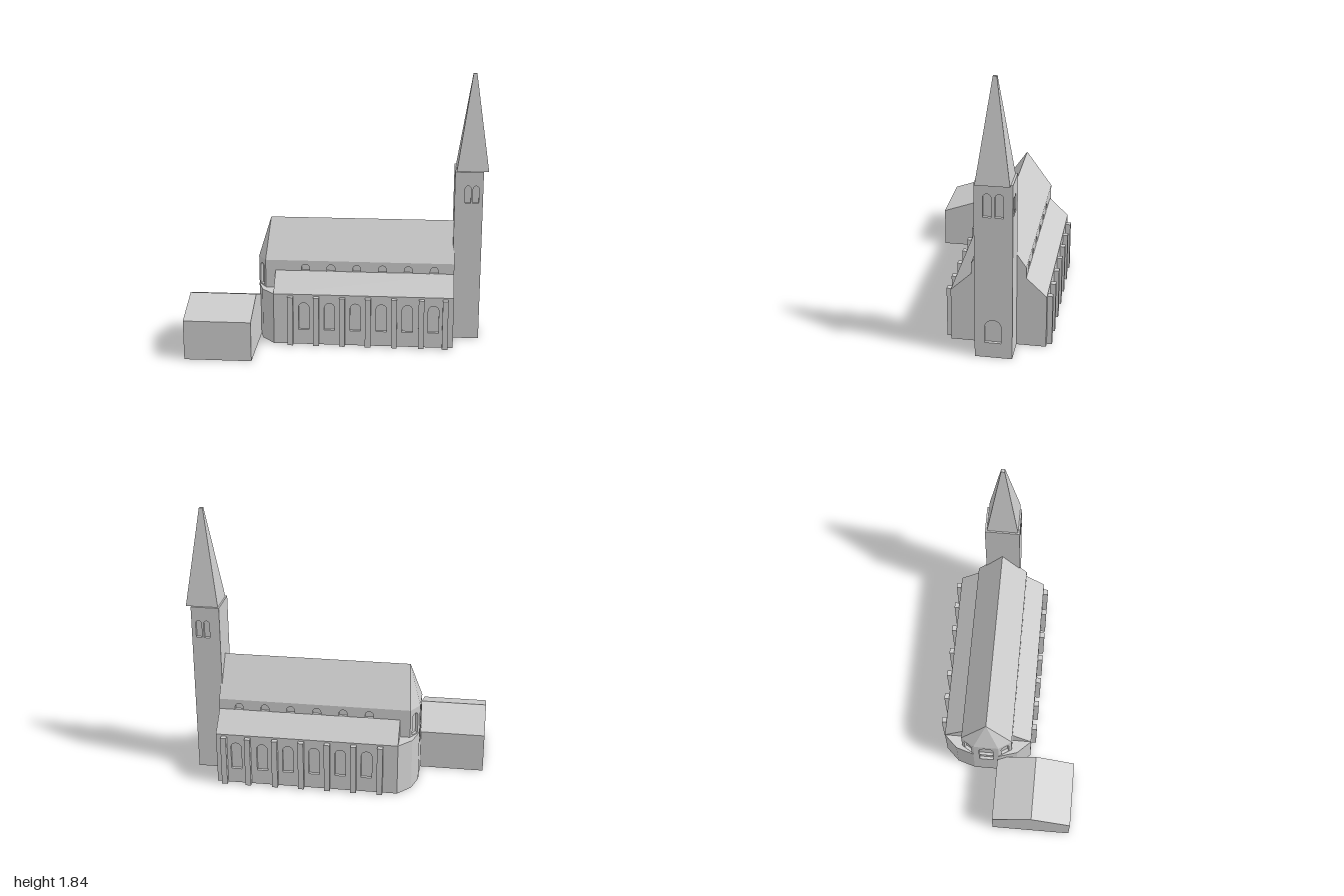
import * as THREE from 'three';
import { mergeGeometries } from 'three/addons/utils/BufferGeometryUtils.js';

const RECESS = 0.02;
const stone = new THREE.MeshStandardMaterial({ color: 0xcccccc });
stone.name = 'light grey stone';

function part(name, geometry) {
  const mesh = new THREE.Mesh(geometry, stone);
  mesh.name = name;
  return mesh;
}

// Closed solid from a plan loop [x, z] at height y0 up to top(x, z) -> [x, y, z]
function loft(name, loop, y0, top) {
  const low = loop.map(([x, z]) => new THREE.Vector3(x, y0, z));
  const high = loop.map(([x, z]) => new THREE.Vector3(...top(x, z)));
  const points = [];
  const tri = (a, b, c) => {
    if (new THREE.Triangle(a, b, c).getArea() > 1e-7) points.push(a, b, c);
  };
  const n = loop.length;
  for (let i = 0; i < n; i++) {
    const j = (i + 1) % n;
    tri(low[i], low[j], high[j]);
    tri(low[i], high[j], high[i]);
    if (i > 0 && i < n - 1) {
      tri(high[0], high[i], high[j]);
      tri(low[0], low[j], low[i]);
    }
  }
  const geometry = new THREE.BufferGeometry().setFromPoints(points);
  geometry.computeVertexNormals();
  return part(name, geometry);
}

// Round-headed (or square-headed) opening, centred on u
function opening(Type, [u, y, w, h, arched = true]) {
  const r = w / 2;
  const path = new Type();
  path.moveTo(u - r, y);
  path.lineTo(u + r, y);
  if (arched) {
    path.lineTo(u + r, y + h - r);
    path.absarc(u, y + h - r, r, 0, Math.PI, false);
  } else {
    path.lineTo(u + r, y + h);
    path.lineTo(u - r, y + h);
  }
  path.closePath();
  return path;
}

// Wall along p -> q with recessed openings
function wall(name, p, q, y0, y1, windows) {
  const dx = q[0] - p[0], dz = q[1] - p[1], length = Math.hypot(dx, dz);
  const shape = new THREE.Shape([[0, y0], [length, y0], [length, y1], [0, y1]].map(v => new THREE.Vector2(...v)));
  shape.holes = windows.map(w => opening(THREE.Path, w));
  const slab = new THREE.ExtrudeGeometry(shape, { depth: RECESS, bevelEnabled: false, curveSegments: 8 });
  const panes = windows.map(w => new THREE.ShapeGeometry(opening(THREE.Shape, w), 8).toNonIndexed());
  const geometry = mergeGeometries([slab, ...panes]);
  geometry.translate(0, 0, -RECESS);
  const mesh = part(name, geometry);
  mesh.position.set(p[0], 0, p[1]);
  mesh.rotation.y = Math.atan2(-dz, dx);
  return mesh;
}

// Ring of walls closed with a floor and a top
function walls(name, loop, y0, y1, windows = {}) {
  const group = new THREE.Group();
  group.name = name;
  loop.forEach((p, i) => group.add(wall(name + 'Side', p, loop[(i + 1) % loop.length], y0, y1, windows[i] || [])));
  for (const [y, sign] of [[y0, 1], [y1, -1]]) {
    const shape = new THREE.Shape(loop.map(([x, z]) => new THREE.Vector2(x, z * sign)));
    const cap = new THREE.ShapeGeometry(shape);
    cap.rotateX(sign * Math.PI / 2);
    cap.translate(0, y, 0);
    group.add(part(name + 'Cap', cap));
  }
  return group;
}

const rect = (x0, x1, z0, z1) => [[x0, z1], [x1, z1], [x1, z0], [x0, z0]];

export function createModel() {
  const model = new THREE.Group();
  model.name = 'church';
  const mid = -0.143, west = -0.44, east = 0.785;
  const bays = [-0.233, -0.057, 0.12, 0.297, 0.473, 0.65];

  // Aisles and lower apse
  const aisle = [[west, 0.165], [east, 0.165], [east, -0.451], [west, -0.451],
    [-0.527, -0.36], [-0.565, -0.235], [-0.565, -0.051], [-0.527, 0.074]];
  model.add(walls('aisleWalls', aisle, 0, 0.36, {
    0: bays.map(x => [x - west, 0.105, 0.072, 0.195]),
    2: bays.map(x => [east - x, 0.105, 0.072, 0.195]),
    5: [[0.092, 0.25, 0.1, 0.109, false]],
  }));
  model.add(loft('aisleRoof', rect(west, east, -0.451, 0.165), 0.36,
    (x, z) => [x, 0.486, mid + Math.sign(z) * 0.175]));

  // Buttresses between the bays
  for (const x of [-0.324, -0.147, 0.03, 0.206, 0.384, 0.568, 0.73]) {
    for (const side of [-1, 1]) {
      const buttress = part('buttress', new THREE.BoxGeometry(0.038, 0.347, 0.05));
      buttress.position.set(x, 0.1735, mid + side * 0.317);
      model.add(buttress);
    }
  }

  // Clerestory and upper apse
  const nave = [[-0.508, 0.033], [east, 0.033], [east, -0.319], [-0.508, -0.319],
    [-0.565, -0.23], [-0.565, -0.056]];
  model.add(walls('clerestory', nave, 0.36, 0.558, {
    1: [],
    0: bays.map(x => [x + 0.508, 0.47, 0.055, 0.062]),
    2: bays.map(x => [east - x, 0.47, 0.055, 0.062]),
    3: [[0.053, 0.368, 0.06, 0.152]],
    4: [[0.087, 0.362, 0.1, 0.158]],
    5: [[0.053, 0.368, 0.06, 0.152]],
  }));
  model.add(loft('naveRoof', nave, 0.558, x => [x > 0 ? east : -0.487, 0.817, mid]));

  // Tower with belfry openings and door
  const belfry = [[0.0885, 0.975, 0.04, 0.12], [0.142, 0.975, 0.04, 0.12]];
  model.add(walls('tower', rect(0.775, 0.965, -0.26, -0.022), 0, 1.19, {
    0: belfry,
    1: [[0.08, 0.97, 0.052, 0.155], [0.155, 0.97, 0.052, 0.155], [0.116, 0.105, 0.105, 0.162]],
    2: belfry.map(([u, ...rest]) => [0.19 - u, ...rest]),
  }));
  model.add(loft('spire', rect(0.785, 1, -0.247, -0.034), 1.191,
    (x, z) => [0.892 + (x > 0.9 ? 0.012 : -0.012), 1.837, -0.1405 + (z > -0.14 ? 0.012 : -0.012)]));

  // Side building with gabled roof
  const annex = rect(-1, -0.55, -0.065, 0.485);
  model.add(walls('annexWalls', annex, 0, 0.272));
  model.add(loft('annexRoof', annex, 0.272, x => [x, 0.372, 0.21]));

  return model;
}
